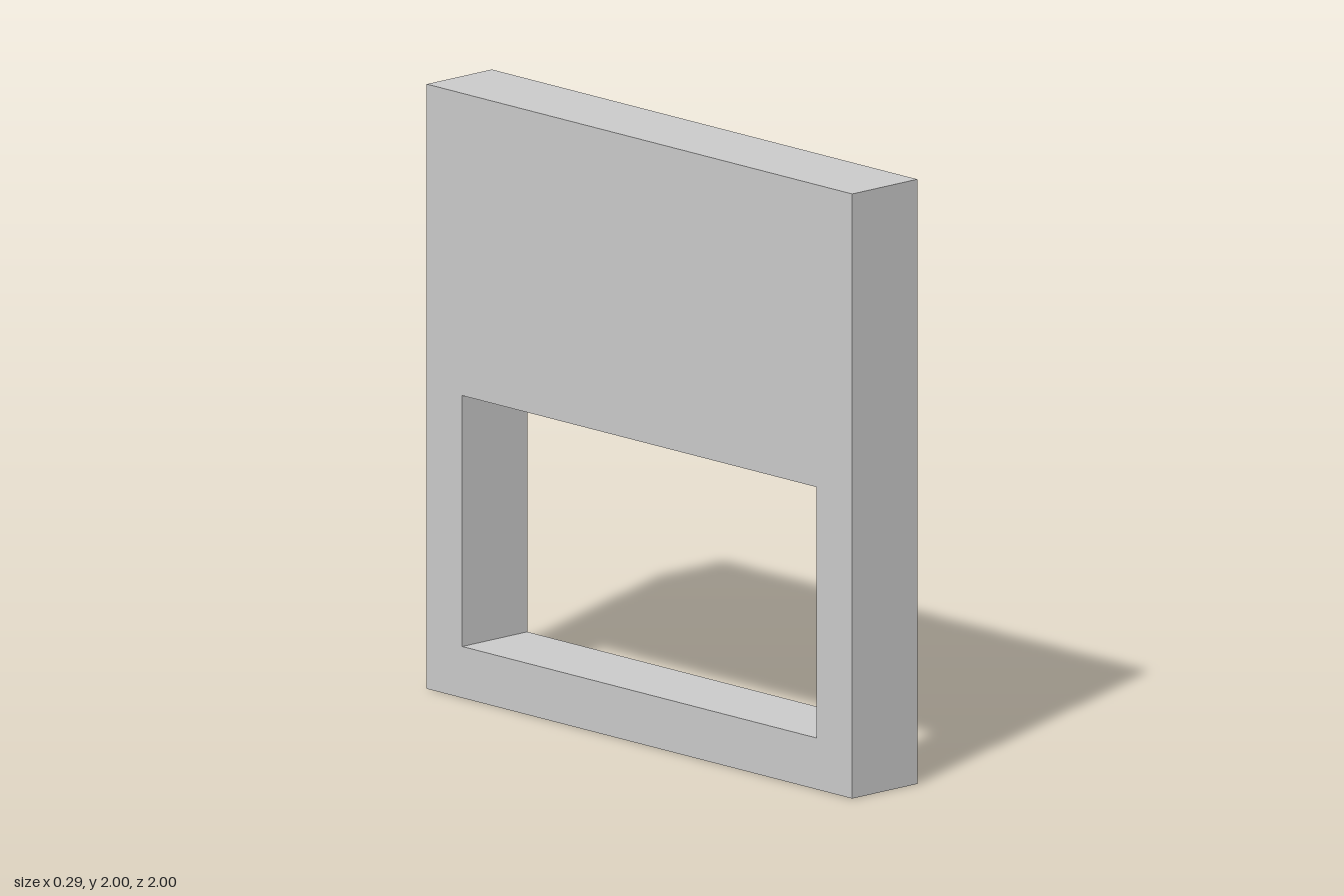
import * as THREE from 'three';

const DEPTH = 0.286;      // frame thickness along x
const RECESS = 0.068;     // panel set back from the +x face
const OPEN = { half: 0.833, bottom: 0.17, top: 1.853 };
const PANEL_BOTTOM = 1.0;

const rectangle = (Type, half, bottom, top) => new Type([
  new THREE.Vector2(-half, bottom),
  new THREE.Vector2(half, bottom),
  new THREE.Vector2(half, top),
  new THREE.Vector2(-half, top),
]);

export function createModel() {
  const group = new THREE.Group();
  group.name = 'panelledFrame';
  const material = new THREE.MeshStandardMaterial({ color: 0xcccccc, flatShading: true });

  // Square frame with a rectangular opening, extruded along x
  const outline = rectangle(THREE.Shape, 1, 0, 2);
  outline.holes.push(rectangle(THREE.Path, OPEN.half, OPEN.bottom, OPEN.top));
  const frameGeometry = new THREE.ExtrudeGeometry(outline, { depth: DEPTH, bevelEnabled: false });
  frameGeometry.translate(0, 0, -DEPTH / 2).rotateY(Math.PI / 2);
  const frame = new THREE.Mesh(frameGeometry, material);
  frame.name = 'frame';
  group.add(frame);

  // Upper panel: flush with the -x face, recessed on the +x face
  const height = OPEN.top - PANEL_BOTTOM;
  const panel = new THREE.Mesh(
    new THREE.BoxGeometry(DEPTH - RECESS, height, OPEN.half * 2), material);
  panel.name = 'upperPanel';
  panel.position.set(-RECESS / 2, PANEL_BOTTOM + height / 2, 0);
  group.add(panel);

  return group;
}
